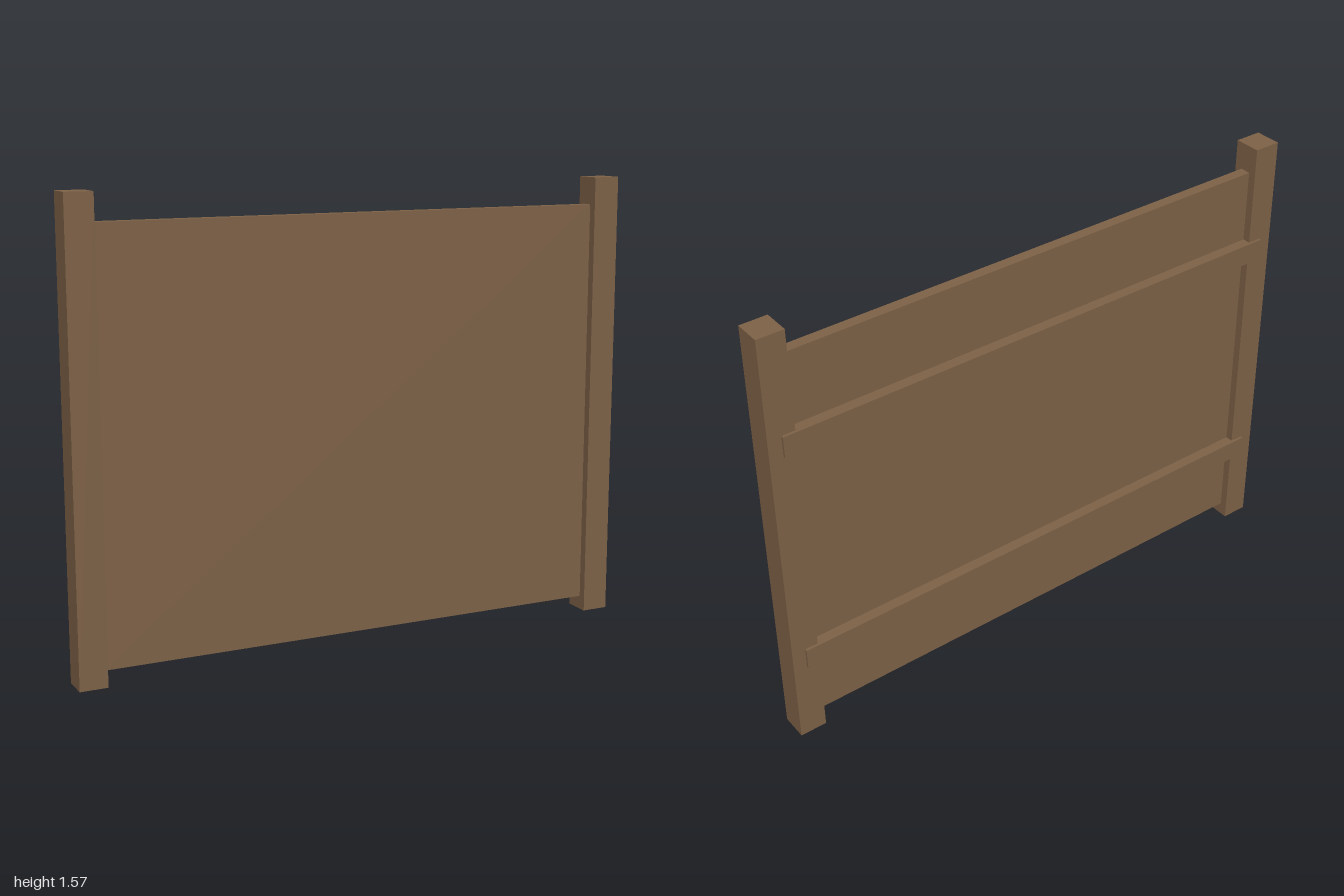
import * as THREE from 'three';

export function createModel() {
  const fence = new THREE.Group();
  fence.name = 'fencePanel';
  const wood = new THREE.MeshStandardMaterial({ color: 0x7e6247 });
  wood.name = 'brown wood';

  // Box placed by its centre
  const box = (name, w, h, d, x, y, z) => {
    const mesh = new THREE.Mesh(new THREE.BoxGeometry(w, h, d), wood);
    mesh.name = name;
    mesh.position.set(x, y, z);
    fence.add(mesh);
  };

  // Flat panel set between the posts
  box('panel', 1.81, 1.428, 0.038, 0, 0.762, 0.005);

  // Square end posts
  for (const side of [-1, 1]) {
    box(side > 0 ? 'leftPost' : 'rightPost', 0.095, 1.571, 0.095, side * 0.9525, 0.7855, 0.005);
  }

  // Horizontal rails across the back
  box('lowerRail', 1.905, 0.076, 0.038, 0, 0.328, -0.033);
  box('upperRail', 1.905, 0.076, 0.038, 0, 1.181, -0.033);

  return fence;
}
